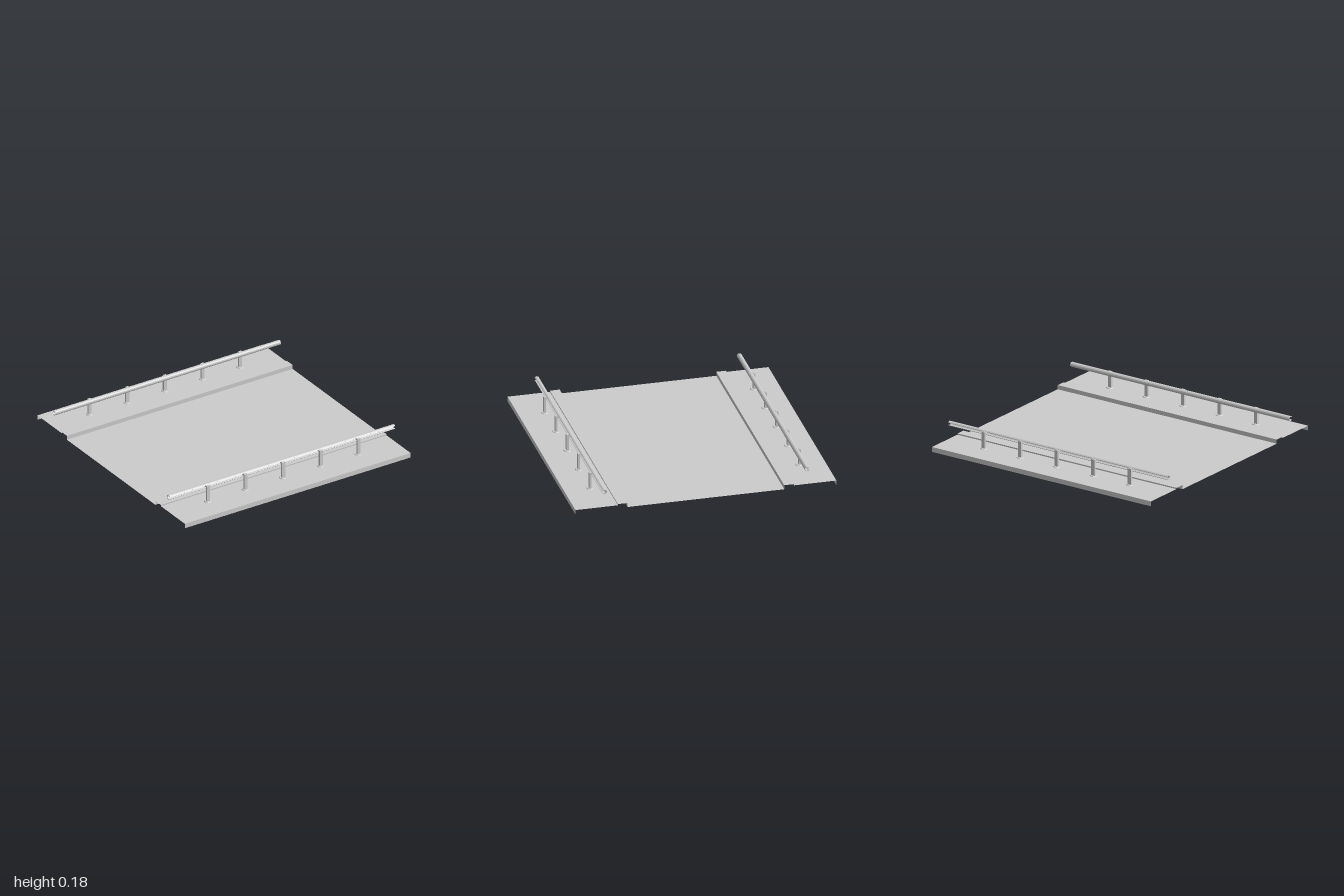
import * as THREE from 'three';

const material = new THREE.MeshStandardMaterial({ color: 0xcccccc, flatShading: true, side: THREE.DoubleSide });

function addMesh(parent, name, geometry, x = 0, y = 0, z = 0) {
  const mesh = new THREE.Mesh(geometry, material);
  mesh.name = name;
  mesh.position.set(x, y, z);
  parent.add(mesh);
  return mesh;
}

// Open sheet: a [z, y] profile swept along x from -1 to 1
function sheet(profile) {
  const positions = [];
  for (let i = 0; i < profile.length - 1; i++) {
    const [z0, y0] = profile[i], [z1, y1] = profile[i + 1];
    positions.push(-1, y0, z0, 1, y0, z0, 1, y1, z1, -1, y0, z0, 1, y1, z1, -1, y1, z1);
  }
  const geometry = new THREE.BufferGeometry();
  geometry.setAttribute('position', new THREE.Float32BufferAttribute(positions, 3));
  geometry.computeVertexNormals();
  return geometry;
}

// C-shaped rail, its slot facing the posts
function railGeometry() {
  const outer = 0.019, inner = 0.014, gap = 0.6, steps = 10;
  const points = [];
  const arc = (radius, t) => {
    const a = gap + t * (Math.PI * 2 - gap * 2);
    return new THREE.Vector2(Math.cos(a) * radius, Math.sin(a) * radius);
  };
  for (let i = 0; i <= steps; i++) points.push(arc(outer, i / steps));
  for (let i = steps; i >= 0; i--) points.push(arc(inner, i / steps));
  const geometry = new THREE.ExtrudeGeometry(new THREE.Shape(points), { depth: 2, bevelEnabled: false });
  // Lay the extrusion along x, with the slot towards +z
  return geometry.translate(0, 0, -1).rotateY(-Math.PI / 2);
}

export function createModel() {
  const model = new THREE.Group();
  model.name = 'bridgeDeck';
  const walkY = 0.038, curbY = 0.048, roadY = 0.015;

  // Road surface
  addMesh(model, 'road', sheet([[0.6, roadY], [-0.6, roadY]]));

  const rail = railGeometry();
  for (const side of [0, 1]) {
    const half = new THREE.Group();
    half.name = side ? 'backSide' : 'frontSide';
    half.rotation.y = side * Math.PI;
    model.add(half);

    // Skirt, walkway and raised curb
    addMesh(half, 'skirt', sheet([[1, 0], [1, walkY]]));
    addMesh(half, 'walkway', sheet([[1, walkY], [0.675, walkY]]));
    addMesh(half, 'curb', sheet([[0.675, walkY], [0.675, curbY], [0.6, curbY], [0.6, roadY]]));

    // Handrail with its posts
    addMesh(half, 'rail', rail, 0, 0.16, 0.777);
    for (let i = -2; i <= 2; i++) {
      const post = new THREE.Group();
      post.name = 'railPost';
      post.position.x = i / 3;
      half.add(post);
      addMesh(post, 'upright', new THREE.BoxGeometry(0.028, 0.13, 0.016), 0, 0.105, 0.803);
      addMesh(post, 'basePlate', new THREE.CylinderGeometry(0.025, 0.029, 0.006, 12), 0, walkY + 0.003, 0.801);
      addMesh(post, 'railBracket', new THREE.BoxGeometry(0.02, 0.012, 0.03), 0, 0.16, 0.782);
    }
  }
  return model;
}
